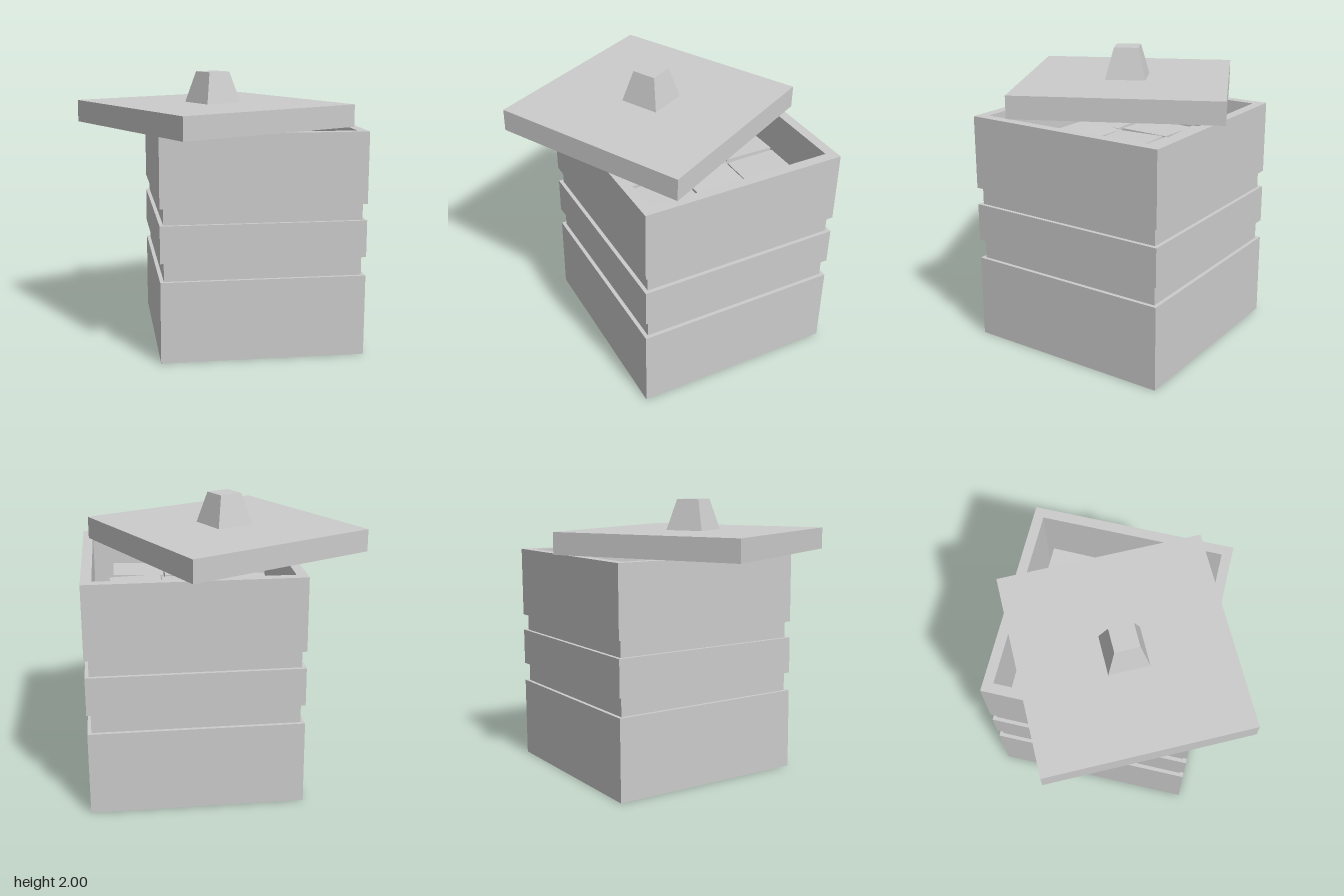
import * as THREE from 'three';

const material = new THREE.MeshStandardMaterial({ color: 0xcccccc, flatShading: true });

function addMesh(parent, geometry, name, x = 0, y = 0, z = 0) {
  const mesh = new THREE.Mesh(geometry, material);
  mesh.name = name;
  mesh.position.set(x, y, z);
  parent.add(mesh);
  return mesh;
}

export function createModel() {
  const model = new THREE.Group();
  model.name = 'squareCanister';

  // Hollow square body: half-width and height profile turned through four sides
  const outer = 0.73, groove = 0.703, inner = 0.658, floor = 0.07, rim = 1.613;
  const profile = [
    [0, 0], [outer, 0],
    [outer, 0.585], [groove, 0.585], [groove, 0.72], [outer, 0.72],
    [outer, 0.985], [groove, 0.985], [groove, 1.105], [outer, 1.105],
    [outer, rim], [inner, rim], [inner, floor], [0, floor],
  ].map(([half, y]) => new THREE.Vector2(half * Math.SQRT2, y));
  const body = new THREE.Group();
  body.name = 'body';
  body.position.set(0.27, 0, -0.167);
  model.add(body);
  addMesh(body, new THREE.LatheGeometry(profile, 4, Math.PI / 4), 'bandedShell');

  // Cubes stacked inside, each one slightly askew
  const contents = new THREE.Group();
  contents.name = 'cubes';
  model.add(contents);
  const cube = new THREE.BoxGeometry(0.365, 0.325, 0.365);
  let n = 0;
  for (let layer = 0; layer < 4; layer++) {
    for (let i = 0; i < 3; i++) {
      for (let j = 0; j < 3; j++, n++) {
        const block = addMesh(contents, cube, 'cube',
          -0.14 + i * 0.38 + 0.015 * Math.sin(n * 2.3),
          0.24 + layer * 0.332,
          -0.56 + j * 0.385 + 0.01 * Math.cos(n * 1.7));
        block.rotation.set(0.02 * Math.sin(n * 3.1), 0.03 * Math.sin(n * 1.9), 0.03 * Math.cos(n * 2.7));
      }
    }
  }

  // Lid lying askew across the rim, with a tapered square knob
  const lid = new THREE.Group();
  lid.name = 'lid';
  lid.position.set(-0.02, 0, 0);
  lid.rotation.y = 0.471;
  model.add(lid);
  addMesh(lid, new THREE.BoxGeometry(1.453, 0.16, 1.453), 'lidSlab', 0, 1.698, 0);
  addMesh(lid, new THREE.CylinderGeometry(0.123, 0.204, 0.222, 4, 1, false, Math.PI / 4), 'knob', 0, 1.889, 0);

  return model;
}
